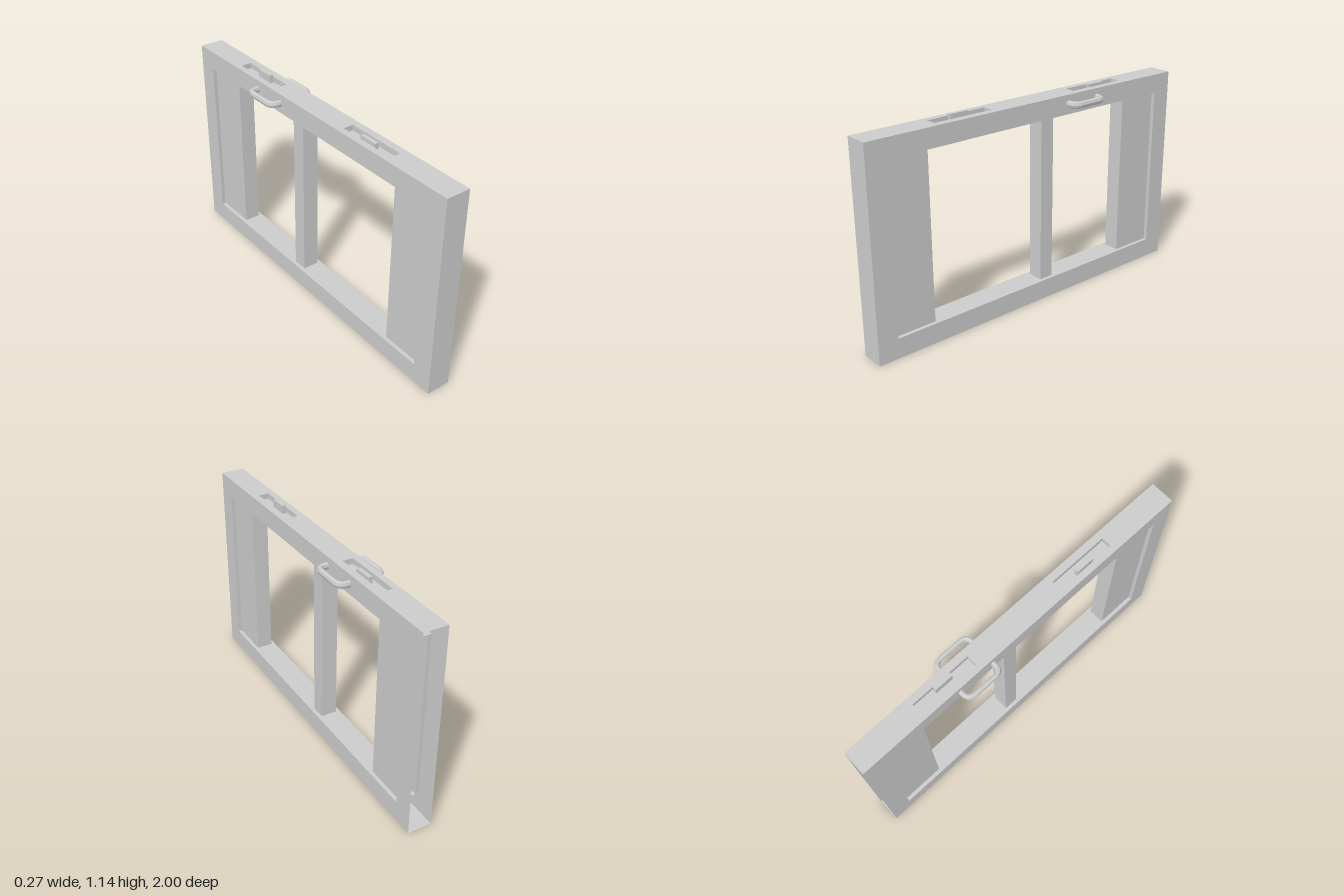
import * as THREE from 'three';

const material = new THREE.MeshStandardMaterial({ color: 0xcccccc, side: THREE.DoubleSide, flatShading: true });

const HALF_X = 0.066, HEIGHT = 1.13;         // outer frame
const OPEN_Y = [0.11, 1.025], OPEN_Z = 0.888; // window opening
const INNER_X = 0.045;                       // recessed panels and mullion

// Box between ranges; omit lists missing faces (0..5 = +x -x +y -y +z -z), inward turns it inside out
function box(name, [x0, x1], [y0, y1], [z0, z1], omit = [], inward = false) {
  const g = new THREE.BoxGeometry(x1 - x0, y1 - y0, z1 - z0);
  g.translate((x0 + x1) / 2, (y0 + y1) / 2, (z0 + z1) / 2);
  const index = Array.from(g.index.array).filter((_, i) => !omit.includes(Math.floor(i / 6)));
  if (inward) {
    index.reverse();
    const n = g.attributes.normal;
    for (let i = 0; i < n.array.length; i++) n.array[i] *= -1;
  }
  g.setIndex(index);
  return part(name, g);
}

function part(name, geometry) {
  const mesh = new THREE.Mesh(geometry, material);
  mesh.name = name;
  return mesh;
}

function rect(C, u0, u1, v0, v1) {
  return new C([[u0, v0], [u1, v0], [u1, v1], [u0, v1]].map(p => new THREE.Vector2(...p)));
}

// Flat sheet with rectangular holes
function sheet(outer, holes) {
  const shape = rect(THREE.Shape, ...outer);
  shape.holes = holes.map(h => rect(THREE.Path, ...h));
  return new THREE.ShapeGeometry(shape);
}

export function createModel() {
  const model = new THREE.Group();
  model.name = 'slidingWindow';

  // Hollow frame: both large faces with the opening
  for (const s of [1, -1]) {
    const face = sheet([-1, 1, 0, HEIGHT], [[-OPEN_Z, OPEN_Z, ...OPEN_Y]]);
    face.rotateY(s * Math.PI / 2).translate(s * HALF_X, 0, 0);
    model.add(part('frameFace', face));
  }

  // Underside and front end; the back end is open
  model.add(box('frameEdge', [-HALF_X, HALF_X], [0, HEIGHT], [-1, 1], [0, 1, 2, 5]));

  // Top edge with two latch pockets (shape y becomes -z)
  const pockets = [
    { z: [0.26, 0.6], latchX: [-0.025, -0.004], latchZ: [0.38, 0.485] },
    { z: [-0.63, -0.29], latchX: [0, 0.022], latchZ: [-0.51, -0.408] },
  ];
  const pocketX = [-0.031, 0.026], pocketFloor = HEIGHT - 0.03;
  const top = sheet([-HALF_X, HALF_X, -1, 1], pockets.map(p => [...pocketX, -p.z[1], -p.z[0]]));
  model.add(part('frameTop', top.rotateX(-Math.PI / 2).translate(0, HEIGHT, 0)));
  for (const p of pockets) {
    model.add(box('latchPocket', pocketX, [pocketFloor, HEIGHT], p.z, [2], true));
    model.add(box('latch', p.latchX, [pocketFloor, 1.144], p.latchZ));
  }

  // Inner lining of the rails
  model.add(box('railLining', [-HALF_X, HALF_X], OPEN_Y, [-OPEN_Z, OPEN_Z], [0, 1, 4, 5], true));

  // Narrow jambs beside the recessed panels
  for (const x of [[INNER_X, HALF_X], [-HALF_X, -INNER_X]]) {
    model.add(box('jamb', x, OPEN_Y, [-OPEN_Z, OPEN_Z], [0, 1, 2, 3], true));
  }

  // Hollow side panels, open toward the frame, and the mullion
  const inner = [-INNER_X, INNER_X];
  model.add(box('frontPanel', inner, OPEN_Y, [0.655, OPEN_Z], [2, 3, 4]));
  model.add(box('backPanel', inner, OPEN_Y, [-OPEN_Z, -0.647], [2, 3, 5]));
  model.add(box('mullion', inner, OPEN_Y, [-0.13, -0.048], [2, 3]));

  // Pull handle on each face
  const v = (x, z) => new THREE.Vector3(x, 0, z);
  for (const s of [1, -1]) {
    const path = new THREE.CurvePath();
    const a = 0.1025, reach = 0.121;
    path.add(new THREE.LineCurve3(v(s * 0.06, -a), v(s * 0.08, -a)));
    path.add(new THREE.QuadraticBezierCurve3(v(s * 0.08, -a), v(s * reach, -a), v(s * reach, -0.06)));
    path.add(new THREE.LineCurve3(v(s * reach, -0.06), v(s * reach, 0.06)));
    path.add(new THREE.QuadraticBezierCurve3(v(s * reach, 0.06), v(s * reach, a), v(s * 0.08, a)));
    path.add(new THREE.LineCurve3(v(s * 0.08, a), v(s * 0.06, a)));
    const tube = new THREE.TubeGeometry(path, 24, 0.015, 8).scale(1, 1.3, 1);
    const handle = part('handle', tube);
    handle.position.set(0, 1.081, -0.318);
    model.add(handle);
  }

  return model;
}
